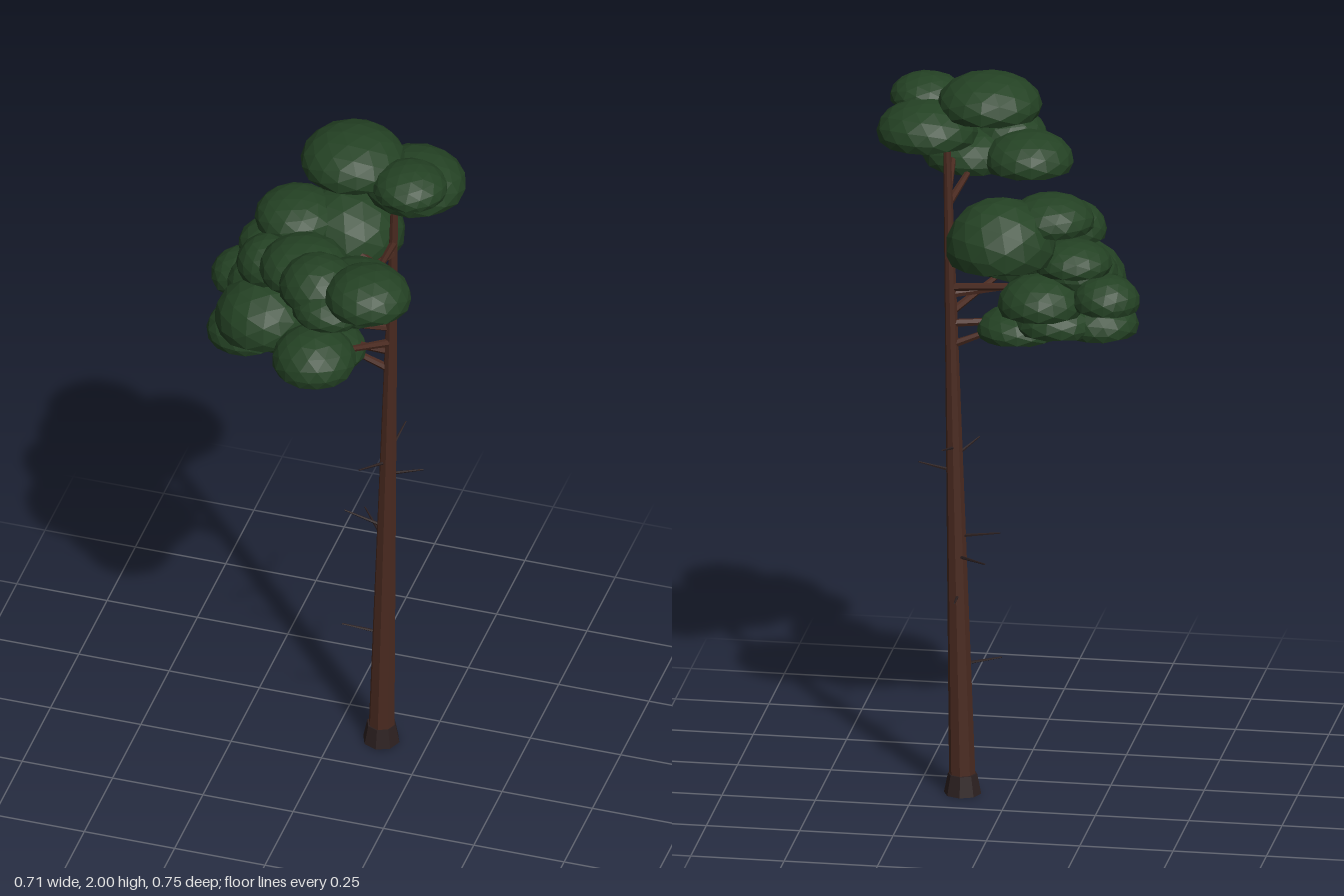
import * as THREE from 'three';

const mat = (name, color) => {
  const m = new THREE.MeshStandardMaterial({ color, flatShading: true });
  m.name = name;
  return m;
};

export function createModel() {
  const bark = mat('bark', 0x4a2a20);
  const darkBark = mat('darkBark', 0x2c2020);
  const needles = mat('needles', 0x244224);

  const tree = new THREE.Group();
  tree.name = 'pineTree';
  const V = (x, y, z) => new THREE.Vector3(x, y, z);
  const add = (geo, material, name) => {
    const mesh = new THREE.Mesh(geo, material);
    mesh.name = name;
    tree.add(mesh);
    return mesh;
  };

  // Centre line and thickness of the leaning trunk at height y
  const trunkAt = (y) => V(0.126 + 0.027 * y, y, -0.127 + 0.022 * y);
  const trunkRadius = (y) => 0.036 - 0.0145 * y;

  // Tapered limb between two points
  const limb = (a, b, r0, r1, sides, material, name) => {
    const dir = b.clone().sub(a);
    const mesh = add(new THREE.CylinderGeometry(r1, r0, dir.length(), sides), material, name);
    mesh.position.copy(a).add(b).multiplyScalar(0.5);
    mesh.quaternion.setFromUnitVectors(V(0, 1, 0), dir.normalize());
  };

  // Trunk and flared root collar
  limb(trunkAt(0), trunkAt(1.9), trunkRadius(0), trunkRadius(1.9), 8, bark, 'trunk');
  const collar = add(new THREE.CylinderGeometry(0.039, 0.05, 0.055, 8), darkBark, 'rootCollar');
  collar.position.set(0.126, 0.0275, -0.127);

  // Bare twigs: start height, then tip
  [
    [0.355, 0.025, 0.375, -0.1],
    [0.545, 0.13, 0.565, -0.235],
    [0.655, 0.05, 0.675, -0.225],
    [0.71, 0.025, 0.73, -0.125],
    [0.89, 0.245, 0.915, -0.12],
    [0.93, 0.1, 0.957, -0.012],
    [0.955, 0.165, 0.985, -0.22],
  ].forEach(([y, tx, ty, tz]) =>
    limb(trunkAt(y), V(tx, ty, tz), 0.005, 0.002, 5, darkBark, 'deadTwig'));

  // Living branches: start height, then tip inside the foliage
  [
    [1.24, -0.01, 1.31, -0.09],
    [1.3, -0.22, 1.33, -0.07],
    [1.33, 0.02, 1.41, 0.12],
    [1.38, -0.15, 1.41, 0],
    [1.4, -0.25, 1.45, -0.17],
    [1.48, -0.15, 1.57, -0.05],
    [1.5, 0.01, 1.58, -0.22],
    [1.55, -0.12, 1.65, -0.17],
    [1.63, 0.12, 1.7, 0.18],
    [1.66, 0.2, 1.75, 0.25],
    [1.78, 0.22, 1.86, -0.13],
    [1.85, 0.06, 1.93, -0.09],
  ].forEach(([y, tx, ty, tz]) =>
    limb(trunkAt(y), V(tx, ty, tz), 0.011, 0.006, 6, bark, 'branch'));

  // Foliage pad: faceted dome with a flattened underside
  const padShape = new THREE.IcosahedronGeometry(1, 2);
  const p = padShape.attributes.position;
  for (let i = 0; i < p.count; i++) p.setY(i, Math.max(p.getY(i), -0.28));
  padShape.computeVertexNormals();

  // Pads: x, z, underside height, top height, radius
  [
    // crown
    [0.06, -0.09, 1.89, 2.0, 0.14],
    [0.22, -0.13, 1.82, 1.93, 0.135],
    [0.237, -0.025, 1.89, 1.97, 0.1],
    // front bough
    [0.21, 0.26, 1.72, 1.82, 0.115],
    [0.06, 0.22, 1.69, 1.8, 0.105],
    [-0.01, 0.12, 1.67, 1.77, 0.12],
    [0.15, 0.18, 1.66, 1.76, 0.135],
    [0.105, 0.265, 1.67, 1.75, 0.1],
    // back bough
    [0.005, -0.235, 1.53, 1.7, 0.147],
    // left boughs, upper to lower
    [-0.12, -0.175, 1.61, 1.7, 0.115],
    [-0.155, -0.04, 1.54, 1.64, 0.09],
    [-0.05, -0.14, 1.5, 1.6, 0.11],
    [-0.18, -0.19, 1.5, 1.58, 0.105],
    [-0.18, -0.09, 1.44, 1.53, 0.105],
    [-0.265, -0.17, 1.39, 1.48, 0.091],
    [-0.16, -0.005, 1.38, 1.52, 0.132],
    [0.02, 0.13, 1.38, 1.49, 0.112],
    [-0.09, -0.17, 1.37, 1.47, 0.115],
    [-0.23, -0.07, 1.29, 1.38, 0.106],
    [-0.12, -0.1, 1.3, 1.39, 0.115],
    [-0.015, -0.08, 1.27, 1.35, 0.11],
  ].forEach(([x, z, y0, y1, r], i) => {
    const h = (y1 - y0) / 1.28;
    const pad = add(padShape, needles, 'foliagePad');
    pad.scale.set(r, h, r);
    pad.position.set(x, y1 - h, z);
    pad.rotation.y = i * 1.3;
  });

  return tree;
}
